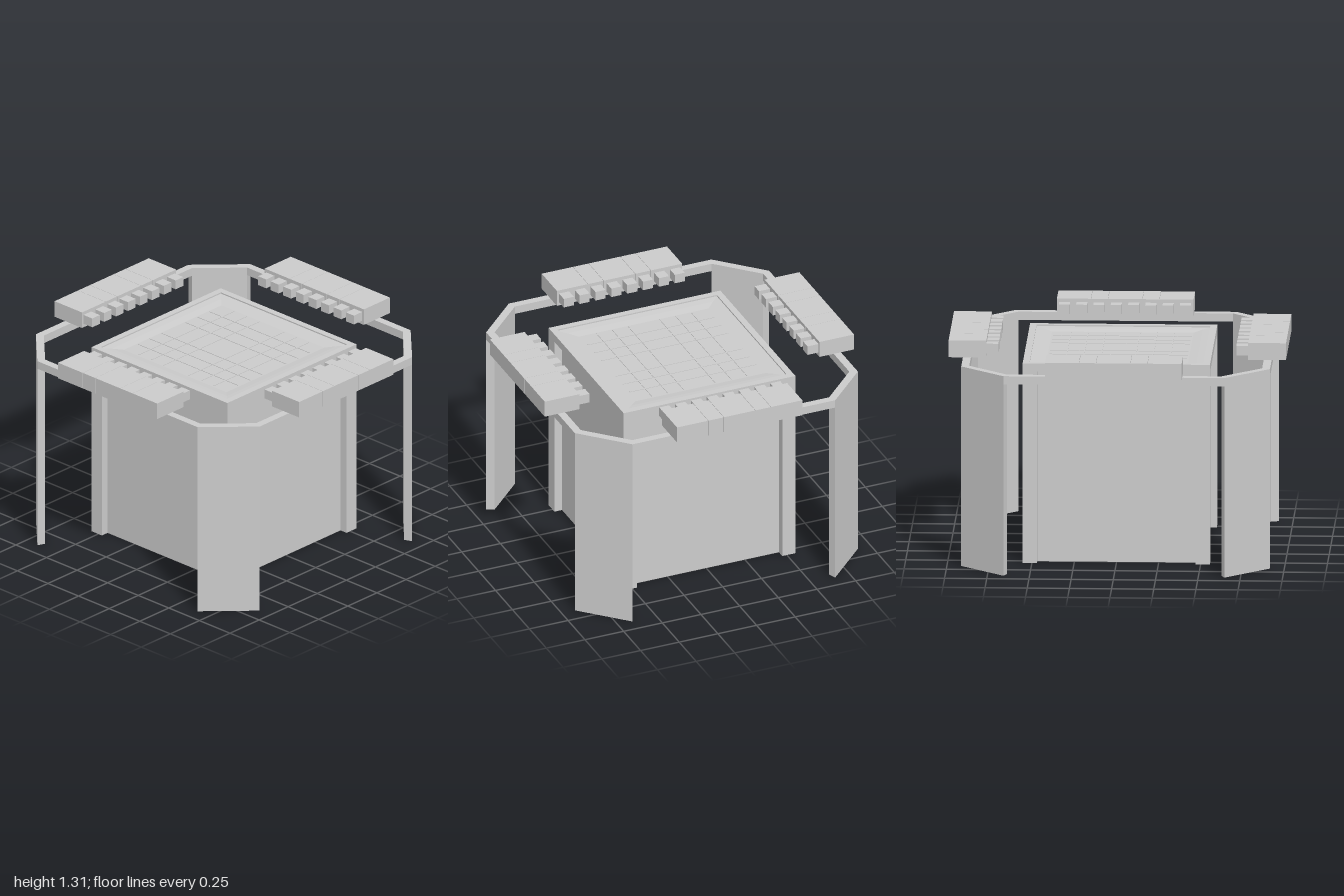
import * as THREE from 'three';

const grey = new THREE.MeshStandardMaterial({ color: 0xcccccc, flatShading: true, side: THREE.DoubleSide });

function addMesh(parent, name, geometry, x = 0, y = 0, z = 0) {
  const mesh = new THREE.Mesh(geometry, grey);
  mesh.name = name;
  mesh.position.set(x, y, z);
  parent.add(mesh);
  return mesh;
}

const points = (list) => list.map(([x, y]) => new THREE.Vector2(x, y));

// Upright prism from a plan outline
function prism(outline, height, hole) {
  const shape = new THREE.Shape(points(outline));
  if (hole) shape.holes.push(new THREE.Path(points(hole)));
  return new THREE.ExtrudeGeometry(shape, { depth: height, bevelEnabled: false }).rotateX(-Math.PI / 2);
}

// Square shell: profile of [half width, height]
function squareLathe(profile) {
  const pts = points(profile.map(([half, y]) => [half * Math.SQRT2, y]));
  return new THREE.LatheGeometry(pts, 4, Math.PI / 4);
}

// Octagon with long straight sides and cut corners
function octagon(half, cut) {
  return [[cut, half], [half, cut], [half, -cut], [cut, -half],
    [-cut, -half], [-half, -cut], [-half, cut], [-cut, half]];
}

export function createModel() {
  const model = new THREE.Group();
  const top = 1.21, beam = 0.05, under = top - beam;

  // Central tower: hollow walls open at the base, overhanging roof with a sunken field
  const tower = new THREE.Group();
  tower.name = 'tower';
  model.add(tower);
  addMesh(tower, 'towerWalls', squareLathe([[0.505, 0], [0.505, under]]));
  addMesh(tower, 'towerRoof', squareLathe([[0.505, under], [0.555, under], [0.555, top],
    [0.515, top], [0.515, top - 0.008], [0.47, top - 0.012], [0.42, top - 0.02], [0, top - 0.02]]));

  // Thin grid lines on the roof
  const roofGrid = new THREE.Group();
  roofGrid.name = 'roofGrid';
  tower.add(roofGrid);
  for (const p of [-0.307, -0.205, -0.102, 0.102, 0.205, 0.307]) {
    addMesh(roofGrid, 'gridLineAcross', new THREE.BoxGeometry(0.82, 0.004, 0.005), 0, top - 0.019, p);
    addMesh(roofGrid, 'gridLineAlong', new THREE.BoxGeometry(0.005, 0.004, 0.82), p, top - 0.019, 0);
  }

  // Octagonal ring beam
  const outer = octagon(0.915, 0.655), inner = octagon(0.868, 0.636);
  const ring = prism(outer, beam, inner);
  addMesh(model, 'ringBeam', ring, 0, under, 0);

  const postOutline = [[0.47, 0.555], [0.555, 0.555], [0.555, 0.47],
    [0.505, 0.47], [0.505, 0.505], [0.47, 0.505]];
  const postGeometry = prism(postOutline, under);
  const legGeometry = prism([outer[0], outer[1], inner[1], inner[0]], under);
  const toothGeometry = new THREE.BoxGeometry(0.065, 0.058, 0.08);
  const edges = [-0.406, -0.203, -0.102, 0.102, 0.203, 0.406];

  // Each quarter: corner post, corner leg, and a row of blocks with inward teeth
  for (let i = 0; i < 4; i++) {
    const quarter = new THREE.Group();
    quarter.name = 'quarter' + (i + 1);
    quarter.rotation.y = i * Math.PI / 2;
    model.add(quarter);
    addMesh(quarter, 'cornerPost', postGeometry);
    addMesh(quarter, 'cornerLeg', legGeometry);

    for (let b = 0; b < 5; b++) {
      const width = edges[b + 1] - edges[b];
      addMesh(quarter, 'topBlock', new THREE.BoxGeometry(width - 0.002, 0.102, 0.224),
        (edges[b] + edges[b + 1]) / 2, top + 0.051, 0.888);
    }
    for (let t = 0; t < 8; t++) {
      addMesh(quarter, 'tooth', toothGeometry, (t - 3.5) * 0.1025, 1.262, 0.745);
    }
  }
  return model;
}
